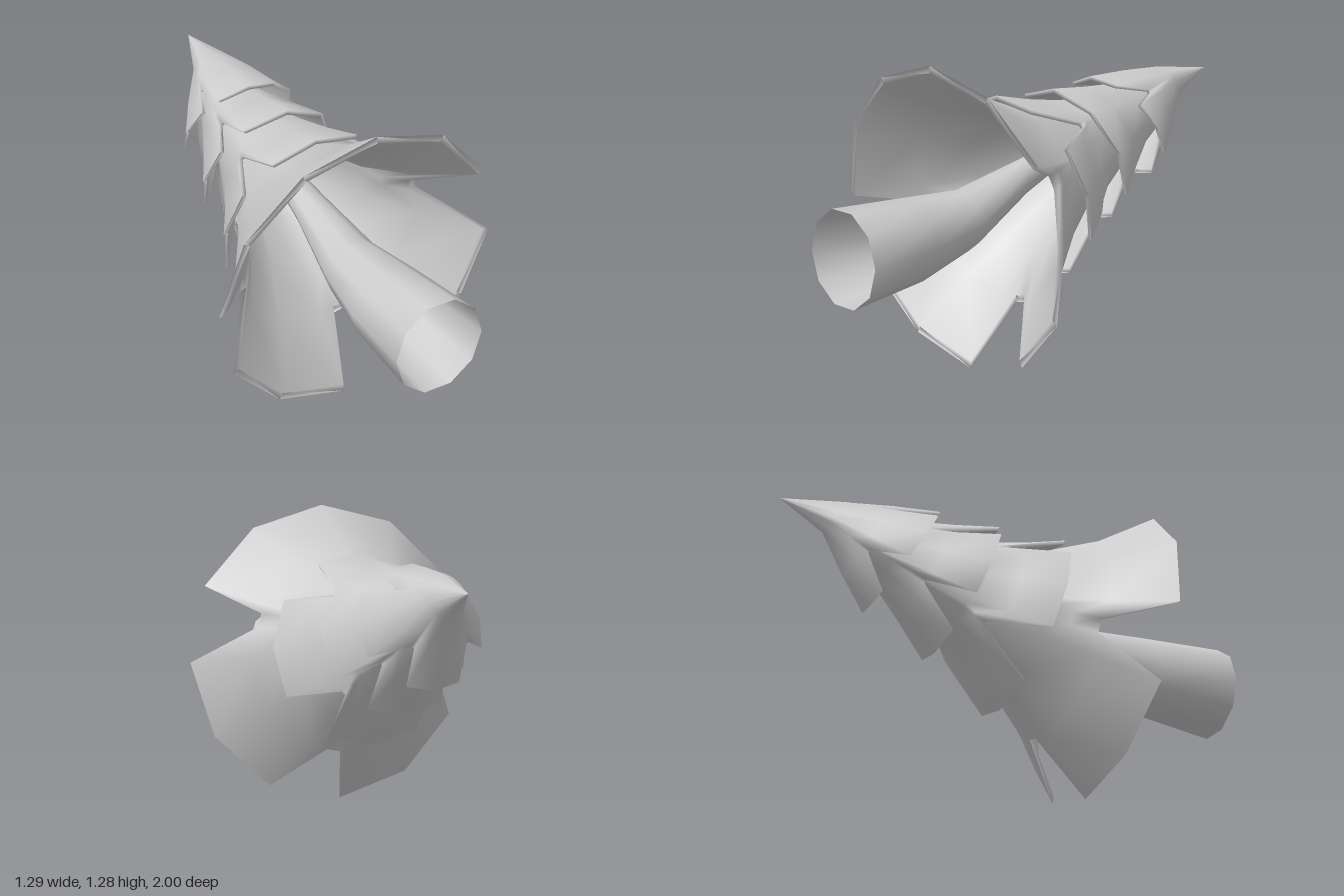
import * as THREE from 'three';

const material = new THREE.MeshStandardMaterial({ color: 0xcccccc, side: THREE.DoubleSide });
const rad = THREE.MathUtils.degToRad;

// Smooth skin over a list of closed rings (each an array of Vector3, back to front)
function loft(name, rings) {
  const n = rings[0].length;
  const index = [];
  for (let s = 0; s < rings.length - 1; s++) {
    for (let i = 0; i < n; i++) {
      const a = s * n + i, b = s * n + ((i + 1) % n);
      index.push(a, b, a + n, b, b + n, a + n);
    }
  }
  const geometry = new THREE.BufferGeometry().setFromPoints(rings.flat());
  geometry.setIndex(index);
  geometry.computeVertexNormals();
  const mesh = new THREE.Mesh(geometry, material);
  mesh.name = name;
  return mesh;
}

// Round ring at height y and depth z, leaning with the given slope
function ring({ x = 0, y, z, r }, angles, slope = 0) {
  return angles.map((t) => new THREE.Vector3(
    x + r * Math.cos(t), y + r * Math.sin(t), z + slope * r * Math.sin(t)));
}

// Rim on a leaning ellipse, split into panels { from, to, count, notch } in degrees.
// After each panel a notch cuts back towards the neck.
function notchedRim({ x = 0, y, z, rx, ry, slope, hubY, notchR, notchHalf, drop }, panels) {
  const points = [];
  const add = (px, py, back) =>
    points.push(new THREE.Vector3(px, py, z + slope * (py - y) - back));
  for (const { from, to, count, notch } of panels) {
    for (let i = 0; i < count; i++) {
      const t = rad(from + ((to - from) * i) / (count - 1));
      add(x + rx * Math.cos(t), y + ry * Math.sin(t), 0);
    }
    for (const side of [-1, 1]) {
      const t = rad(notch + side * notchHalf);
      add(notchR * Math.cos(t), hubY + notchR * Math.sin(t), drop);
    }
  }
  return points;
}

// Skirt of branches: round at the neck, notched at the rim, with a folded thick edge
function tier(name, { rim, panels, necks, sag, thick }) {
  const edge = notchedRim(rim, panels);
  const angles = edge.map((p) => Math.atan2(p.y - rim.hubY, p.x));
  const outer = necks.map((k) => ring(k, angles, rim.slope));
  const last = outer[outer.length - 1];
  const axisY = (rim.hubY + necks[necks.length - 1].y) / 2;
  const middle = edge.map((p, i) => {
    const m = p.clone().lerp(last[i], 0.5);
    return m.set(m.x * sag, axisY + (m.y - axisY) * sag, m.z);
  });
  outer.push(middle, edge);
  const inner = outer.map((loop) => loop.map((p, i) => new THREE.Vector3(
    p.x - Math.cos(angles[i]) * thick, p.y - Math.sin(angles[i]) * thick, p.z)));
  // A pointed top needs no inner layer at its tip
  if (necks[0].r === 0) inner.shift();
  return loft(name, [...outer, ...inner.reverse()]);
}

export function createModel() {
  const group = new THREE.Group();
  group.name = 'tree';

  // Hollow ten-sided trunk, narrowing as it rises into the branches
  const angles = Array.from({ length: 10 }, (_, i) => rad(i * 36));
  const sections = [
    { y: 0.86, z: -0.2, r: 0.045 },
    { y: 0.76, z: 0.1, r: 0.075 },
    { y: 0.64, z: 0.4, r: 0.125 },
    { y: 0.607, z: 0.65, r: 0.168 },
    { y: 0.59, z: 1, r: 0.198 },
  ];
  group.add(loft('trunk', sections.map((s) => ring(s, angles))));

  // Wide bottom tier: three panels on a twelve-sided rim
  group.add(tier('bottomBranches', {
    rim: { y: 0.645, z: 0.46, rx: 0.645, ry: 0.64, slope: 0.156,
      hubY: 0.69, notchR: 0.43, notchHalf: 4, drop: 0.23 },
    panels: [
      { from: 30, to: 180, count: 6, notch: 194 },
      { from: 210, to: 270, count: 3, notch: 284 },
      { from: 300, to: 360, count: 3, notch: 381 },
    ],
    necks: [{ y: 0.82, z: -0.2, r: 0.19 }, { y: 0.745, z: 0.06, r: 0.32 }],
    sag: 0.94, thick: 0.03,
  }));

  // Second tier: four panels
  group.add(tier('lowerMiddleBranches', {
    rim: { y: 0.725, z: 0.077, rx: 0.405, ry: 0.395, slope: 0.27,
      hubY: 0.795, notchR: 0.28, notchHalf: 2, drop: 0.235 },
    panels: [
      { from: 65, to: 124, count: 3, notch: 142 },
      { from: 148, to: 204, count: 3, notch: 223 },
      { from: 240, to: 300, count: 3, notch: 317 },
      { from: 335, to: 394, count: 3, notch: 406 },
    ],
    necks: [{ y: 0.91, z: -0.45, r: 0.14 }, { y: 0.84, z: -0.22, r: 0.22 }],
    sag: 0.98, thick: 0.02,
  }));

  // Third tier: one wide panel and two narrow ones
  group.add(tier('upperMiddleBranches', {
    rim: { x: -0.01, y: 0.82, z: -0.2155, rx: 0.32, ry: 0.3, slope: 0.385,
      hubY: 0.9, notchR: 0.2, notchHalf: 2, drop: 0.195 },
    panels: [
      { from: -28, to: 124, count: 5, notch: 148 },
      { from: 147, to: 207, count: 3, notch: 222 },
      { from: 240, to: 300, count: 3, notch: 317 },
    ],
    necks: [{ x: 0.02, y: 1.01, z: -0.72, r: 0.08 }, { y: 0.95, z: -0.52, r: 0.15 }],
    sag: 0.98, thick: 0.02,
  }));

  // Pointed top tier: four panels
  group.add(tier('topBranches', {
    rim: { y: 0.91, z: -0.481, rx: 0.265, ry: 0.23, slope: 0.57,
      hubY: 0.985, notchR: 0.165, notchHalf: 2, drop: 0.158 },
    panels: [
      { from: 63, to: 127, count: 3, notch: 150 },
      { from: 146, to: 204, count: 3, notch: 226 },
      { from: 245, to: 295, count: 3, notch: 314 },
      { from: 336, to: 394, count: 3, notch: 392 },
    ],
    necks: [{ x: 0.05, y: 1.115, z: -1, r: 0 }, { x: 0.025, y: 1.07, z: -0.77, r: 0.075 }],
    sag: 1.04, thick: 0.018,
  }));
  return group;
}
